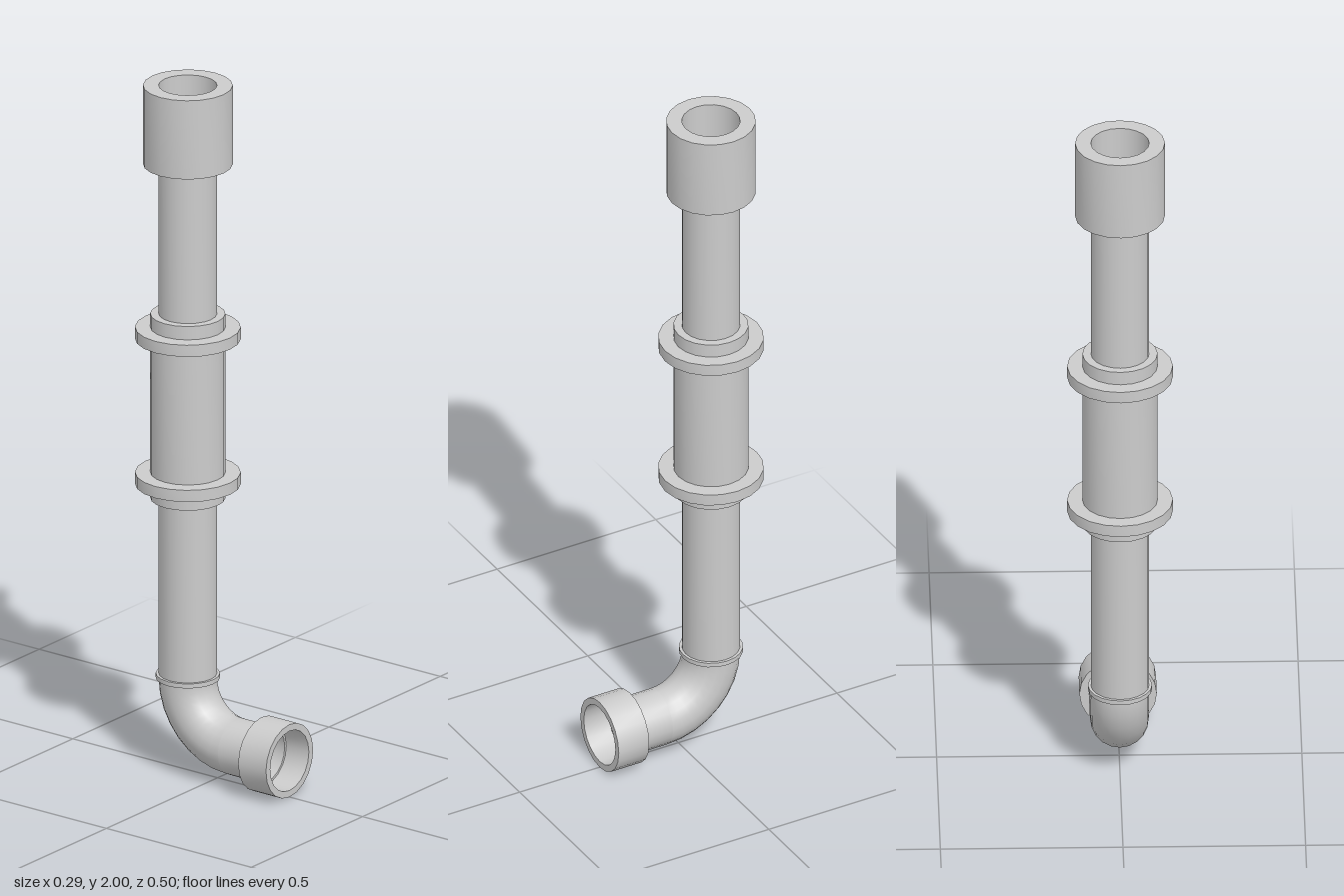
import * as THREE from 'three';
import { toCreasedNormals } from 'three/addons/utils/BufferGeometryUtils.js';

const SIDES = 20;
const R = 0.08;        // pipe radius
const AXIS_Z = -0.103; // vertical pipe axis
const BEND = 0.165;    // elbow radius
const LOW_Y = 0.106;   // horizontal pipe axis

export function createModel() {
  const group = new THREE.Group();
  const material = new THREE.MeshStandardMaterial({ color: 0xcccccc, side: THREE.DoubleSide });

  const add = (name, geometry) => {
    const mesh = new THREE.Mesh(geometry, material);
    mesh.name = name;
    group.add(mesh);
    return mesh;
  };

  // Turned part from [radius, height] pairs, with sharp edges kept
  const turned = (name, profile) => {
    const points = profile.map(([r, h]) => new THREE.Vector2(r, h));
    return add(name, toCreasedNormals(new THREE.LatheGeometry(points, SIDES), 0.7));
  };
  const ring = (r, y0, y1) => [[R, y0], [r, y0], [r, y1], [R, y1]];

  // Vertical parts share one axis
  const upright = (name, profile) => { turned(name, profile).position.z = AXIS_Z; };
  upright('verticalPipe', [[R, LOW_Y + BEND], [R, 2]]);
  upright('topCollar', ring(0.123, 1.77, 2));
  upright('sleeve', ring(0.103, 0.795, 1.333));
  upright('upperFlange', ring(0.145, 1.26, 1.294));
  upright('lowerFlange', ring(0.145, 0.836, 0.87));
  upright('jointRing', ring(0.088, 0.27, 0.283));

  // Quarter-turn elbow from the vertical to the front
  const elbow = new THREE.TorusGeometry(BEND, R, SIDES, 8, Math.PI / 2);
  elbow.rotateZ(Math.PI).rotateY(-Math.PI / 2);
  add('elbow', elbow).position.set(0, LOW_Y + BEND, AXIS_Z + BEND);

  // Horizontal outlet with a stepped socket, turned about z
  const outlet = (name, profile) => {
    const mesh = turned(name, profile);
    mesh.rotation.x = Math.PI / 2;
    mesh.position.y = LOW_Y;
  };
  outlet('outletPipe', [[R, AXIS_Z + BEND], [R, 0.17]]);
  outlet('outletSocket', [[R, 0.152], [0.106, 0.152], [0.106, 0.248], [0.087, 0.248], [0.087, 0.17], [R, 0.17]]);

  return group;
}
